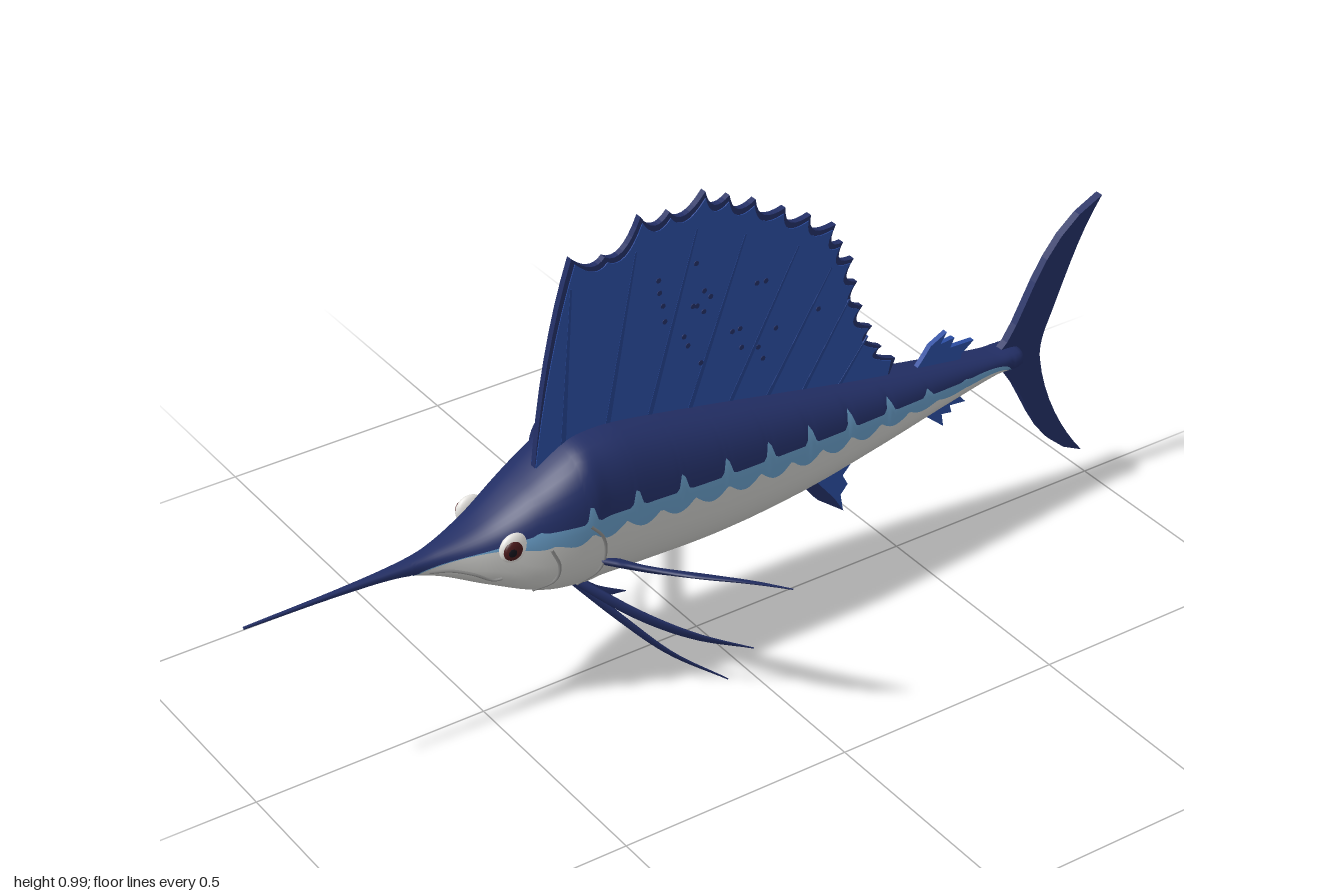
import * as THREE from 'three';

const mat = (name, color, side = THREE.FrontSide) => {
  const m = new THREE.MeshStandardMaterial({ color, side });
  m.name = name;
  return m;
};

// Smooth interpolation of column k in a table whose column 0 is x
function sample(table, k, x) {
  let i = 0;
  while (i < table.length - 2 && x > table[i + 1][0]) i++;
  const slope = (j) => {
    const a = table[Math.max(j - 1, 0)], b = table[Math.min(j + 1, table.length - 1)];
    return (b[k] - a[k]) / (b[0] - a[0]);
  };
  const p = table[i], q = table[i + 1], h = q[0] - p[0];
  const t = Math.min(1, Math.max(0, (x - p[0]) / h)), t2 = t * t, t3 = t2 * t;
  return (2 * t3 - 3 * t2 + 1) * p[k] + (t3 - 2 * t2 + t) * h * slope(i)
    + (3 * t2 - 2 * t3) * q[k] + (t3 - t2) * h * slope(i + 1);
}

// x, underside y, top y, half width
const BODY = [
  [-1, 0.399, 0.404, 0.003], [-0.8, 0.396, 0.408, 0.007], [-0.67, 0.389, 0.413, 0.016],
  [-0.6, 0.368, 0.422, 0.03], [-0.5, 0.318, 0.45, 0.07], [-0.4, 0.272, 0.505, 0.104],
  [-0.31, 0.256, 0.557, 0.118], [-0.27, 0.254, 0.566, 0.112], [-0.2, 0.252, 0.564, 0.113],
  [0, 0.25, 0.528, 0.111], [0.2, 0.263, 0.488, 0.096], [0.4, 0.294, 0.448, 0.074],
  [0.6, 0.33, 0.415, 0.05], [0.72, 0.35, 0.397, 0.037], [0.785, 0.352, 0.392, 0.034], [0.8, 0.368, 0.376, 0.008],
];
// x, lower edge of the dark back, upper edge of the pale belly
const BANDS = [
  [-1, 0.37, 0.36], [-0.67, 0.38, 0.375], [-0.63, 0.396, 0.394], [-0.5, 0.418, 0.413], [-0.4, 0.436, 0.402],
  [0, 0.423, 0.386], [0.3, 0.403, 0.37], [0.6, 0.384, 0.365], [0.74, 0.373, 0.364], [0.775, 0.33, 0.32], [0.8, 0.3, 0.29],
];
const POWER = 2.6;

function surface(x, t, lift = 0) {
  const lo = sample(BODY, 1, x), hi = sample(BODY, 2, x), w = sample(BODY, 3, x);
  const bend = (v) => Math.sign(v) * Math.abs(v) ** (2 / POWER);
  return new THREE.Vector3(x, (lo + hi) / 2 + ((hi - lo) / 2 + lift) * bend(Math.sin(t)),
    (w + lift) * bend(Math.max(0, Math.cos(t))));
}
function angleAt(x, y) {
  const lo = sample(BODY, 1, x), hi = sample(BODY, 2, x);
  const s = THREE.MathUtils.clamp((2 * y - lo - hi) / (hi - lo), -1, 1);
  return Math.asin(Math.sign(s) * Math.abs(s) ** (POWER / 2));
}

function bodyGeometry() {
  const N = 240, top = Math.PI / 2, pos = [], bands = [[], [], []], R = 36;
  for (let i = 0; i <= N; i++) {
    const x = -1 + 1.8 * i / N;
    const fade = THREE.MathUtils.smoothstep(x, -0.45, -0.3) * (1 - THREE.MathUtils.smoothstep(x, 0.3, 0.7));
    const yU = sample(BANDS, 1, x) + fade * 0.04 * Math.max(0, Math.cos(x * 60)) ** 8;
    const yL = sample(BANDS, 2, x) + fade * 0.014 * (1 - 1.6 * Math.abs(Math.sin(x * 40)));
    const tU = Math.max(angleAt(x, yU), -top + 0.06);
    const tL = Math.min(Math.max(angleAt(x, yL), -top + 0.03), tU - 0.02);
    const half = [];
    for (let j = 0; j < 8; j++) half.push(top + (tU - top) * j / 8);
    half.push(tU, (tU + tL) / 2);
    for (let j = 0; j <= 8; j++) half.push(tL + (-top - tL) * j / 8);
    const pts = half.map((t) => surface(x, t));
    for (const p of pts) pos.push(p.x, p.y, p.z);
    for (let j = 17; j > 0; j--) pos.push(pts[j].x, pts[j].y, -pts[j].z);
  }
  for (let i = 0; i < N; i++) for (let j = 0; j < R; j++) {
    const m = j < 18 ? j : 35 - j, k = (j + 1) % R;
    const a = i * R + j, b = i * R + k;
    bands[m < 8 ? 0 : m < 10 ? 1 : 2].push(a, b, a + R, b, b + R, a + R);
  }
  const g = new THREE.BufferGeometry();
  g.setAttribute('position', new THREE.Float32BufferAttribute(pos, 3));
  g.setIndex(bands.flat());
  let start = 0;
  bands.forEach((b, i) => { g.addGroup(start, b.length, i); start += b.length; });
  g.computeVertexNormals();
  return g;
}

// Lens-section fin lofted through [leading point, trailing point, half thickness]
function bladeGeometry(rows, side) {
  const S = 10, N = 20, pos = [], idx = [];
  const curve = (k) => new THREE.CatmullRomCurve3(rows.map((r) => new THREE.Vector3(r[k][0], r[k][1], r[k][2] * side)));
  const lead = curve(0), trail = curve(1);
  for (let i = 0; i <= N; i++) {
    const u = i / N, l = lead.getPoint(u), t = trail.getPoint(u);
    const c = l.clone().add(t).multiplyScalar(0.5), a = l.clone().sub(t).multiplyScalar(0.5);
    const d = lead.getTangent(u).add(trail.getTangent(u));
    const n = a.clone().cross(d).normalize().multiplyScalar(0.009 * (1 - 0.85 * u));
    for (let j = 0; j < S; j++) {
      const q = j / S * Math.PI * 2;
      pos.push(...c.clone().addScaledVector(a, Math.cos(q)).addScaledVector(n, Math.sin(q)).toArray());
    }
  }
  for (let i = 0; i < N; i++) for (let j = 0; j < S; j++) {
    const a = i * S + j, b = i * S + (j + 1) % S;
    idx.push(a, a + S, b, b, a + S, b + S);
  }
  const g = new THREE.BufferGeometry();
  g.setAttribute('position', new THREE.Float32BufferAttribute(pos, 3));
  g.setIndex(idx);
  g.computeVertexNormals();
  return g;
}

// Upright plate centred on z = 0
function plate(shape, depth) {
  return new THREE.ExtrudeGeometry(shape, { depth, bevelEnabled: false, curveSegments: 8 }).translate(0, 0, -depth / 2);
}
const polygon = (pts) => new THREE.Shape(pts.map((p) => new THREE.Vector2(p[0], p[1])));

const SAIL_TIPS = [[-0.283, 0.945], [-0.21, 0.925], [-0.13, 0.985], [-0.065, 0.975], [0.015, 0.993], [0.07, 0.968], [0.13, 0.94],
  [0.2, 0.9], [0.26, 0.865], [0.32, 0.825], [0.338, 0.78], [0.365, 0.735], [0.375, 0.68], [0.39, 0.62], [0.415, 0.565], [0.44, 0.51], [0.475, 0.47]];
// Sail outline: concave scallops between the ray tips
function sailShape(shrink, dip) {
  const f = (x, y) => [x * shrink, 0.45 + (y - 0.45) * shrink];
  const s = new THREE.Shape();
  s.moveTo(-0.375, 0.5);
  s.quadraticCurveTo(...f(-0.35, 0.76), ...f(...SAIL_TIPS[0]));
  for (let i = 1; i < SAIL_TIPS.length; i++) {
    const [ax, ay] = SAIL_TIPS[i - 1], [bx, by] = SAIL_TIPS[i];
    const cx = ax * 0.7 + bx * 0.3, cy = ay * 0.7 + by * 0.3;
    const len = Math.hypot(cx, cy - 0.45), k = 1 - dip / len;
    s.quadraticCurveTo(...f(cx * k, 0.45 + (cy - 0.45) * k), ...f(bx, by));
  }
  s.lineTo(0.45, 0.41);
  s.lineTo(0, 0.49);
  s.lineTo(-0.3, 0.52);
  return s;
}

export function createModel() {
  const fish = new THREE.Group();
  fish.name = 'sailfish';
  const navy = mat('navy', 0x222e64), blue = mat('sail blue', 0x2a4c9f), ray = mat('ray blue', 0x24428c);
  const sky = mat('light blue', 0x6497c0), pale = mat('belly grey', 0xc6c6c3), line = mat('crease grey', 0x8b8b8a);
  const white = mat('eye white', 0xe6e4e0), black = mat('black', 0x14121a), iris = mat('dark red', 0x4a1a1c);
  const add = (name, geo, material) => {
    const m = new THREE.Mesh(geo, material);
    m.name = name;
    fish.add(m);
    return m;
  };

  add('body', bodyGeometry(), [navy, sky, pale]);

  // Sail with dark rim, rays and spots
  add('sailRim', plate(sailShape(1, 0.05), 0.014), navy);
  add('sail', plate(sailShape(0.975, 0.05), 0.018), blue);
  SAIL_TIPS.forEach(([x, y], i) => {
    if (i % 2 || i > 14) return;
    const bx = -0.32 + i * 0.045, by = 0.5 - i * 0.005, k = 0.86;
    const tx = bx + (x - bx) * k, ty = by + (y - by) * k;
    add('sailRay', plate(polygon([[bx, by], [bx + 0.012, by], [tx + 0.004, ty], [tx, ty]]), 0.0195), ray);
  });
  let seed = 7;
  const rand = () => (seed = (seed * 16807) % 2147483647) / 2147483647;
  for (let i = 0; i < 22; i++) {
    const a = 0.5 + rand() * 1.5, r = 0.15 + rand() * 0.27;
    const spot = new THREE.CylinderGeometry(0.0055, 0.0055, 0.021, 8).rotateX(Math.PI / 2);
    add('sailSpot', spot.translate(Math.cos(a) * r * 0.8, 0.46 + Math.sin(a) * r, 0), navy);
  }

  // Small fins on the centre line
  add('rearDorsalFin', plate(polygon([[0.52, 0.41], [0.55, 0.445], [0.565, 0.465], [0.605, 0.485], [0.59, 0.462],
    [0.625, 0.465], [0.615, 0.445], [0.675, 0.443], [0.645, 0.42], [0.64, 0.39], [0.52, 0.39]]), 0.012), blue);
  add('analFin', plate(polygon([[0.23, 0.29], [0.245, 0.26], [0.29, 0.2], [0.355, 0.15], [0.348, 0.19], [0.365, 0.21],
    [0.352, 0.235], [0.38, 0.265], [0.37, 0.32], [0.3, 0.31]]), 0.012), blue);
  add('analFinEdge', plate(polygon([[0.23, 0.28], [0.245, 0.26], [0.29, 0.2], [0.355, 0.15], [0.33, 0.19], [0.265, 0.27]]), 0.015), navy);
  add('rearAnalFin', plate(polygon([[0.53, 0.34], [0.56, 0.3], [0.605, 0.262], [0.6, 0.292], [0.625, 0.288],
    [0.62, 0.306], [0.66, 0.302], [0.64, 0.325], [0.65, 0.36], [0.53, 0.36]]), 0.012), blue);

  // Crescent tail
  const tail = new THREE.Shape();
  tail.moveTo(0.735, 0.385);
  tail.bezierCurveTo(0.81, 0.43, 0.82, 0.62, 0.99, 0.68);
  tail.bezierCurveTo(0.93, 0.6, 0.9, 0.5, 0.86, 0.41);
  tail.quadraticCurveTo(0.845, 0.37, 0.85, 0.34);
  tail.bezierCurveTo(0.865, 0.24, 0.92, 0.14, 0.978, 0.07);
  tail.bezierCurveTo(0.83, 0.12, 0.82, 0.3, 0.735, 0.36);
  add('tailFin', plate(tail, 0.018), navy);

  // Long pelvic fin from a centre path and a width direction
  const pelvic = (path, py, pz) => path.map(([x, y, z], i) => {
    const w = [0.012, 0.017, 0.014, 0.001][i];
    return [[x, y + py * w, z + pz * w], [x, y - py * w, z - pz * w]];
  });
  const pectoral = [
    [[-0.3, 0.335, 0.095], [-0.23, 0.3, 0.095]], [[-0.275, 0.345, 0.15], [-0.19, 0.296, 0.15]],
    [[-0.21, 0.367, 0.28], [-0.135, 0.335, 0.28]], [[-0.14, 0.367, 0.35], [-0.09, 0.347, 0.355]],
    [[-0.055, 0.346, 0.4], [-0.053, 0.344, 0.4]],
  ];
  const outer = pelvic([[-0.32, 0.268, 0.03], [-0.22, 0.19, 0.12], [-0.13, 0.14, 0.185], [-0.03, 0.104, 0.24]], 0.78, 0.62);
  const inner = pelvic([[-0.32, 0.268, 0.025], [-0.23, 0.16, 0.085], [-0.15, 0.075, 0.13], [-0.05, 0.003, 0.182]], 0.49, 0.87);

  for (const s of [1, -1]) {
    const side = s > 0 ? 'left' : 'right';
    add(side + 'PectoralFin', bladeGeometry(pectoral, s), navy);
    add(side + 'OuterPelvicFin', bladeGeometry(outer, s), navy);
    add(side + 'InnerPelvicFin', bladeGeometry(inner, s), navy);

    // Eye: white ball, dark red iris, black pupil
    const eye = surface(-0.468, angleAt(-0.468, 0.418));
    [['Eye', 0.031, 0, white], ['Iris', 0.021, 0.008, iris], ['Pupil', 0.013, 0.012, black]].forEach(([n, r, out, m]) => {
      const ball = add(side + n, new THREE.SphereGeometry(r, 20, 14), m);
      ball.scale.z = 0.45;
      ball.position.set(eye.x - out * 0.7, eye.y, s * (eye.z + out));
    });

    // Mouth and gill creases drawn along the skin
    const crease = (name, pts) => {
      const path = new THREE.CatmullRomCurve3(pts.map(([x, y]) => {
        const p = surface(x, angleAt(x, y));
        return p.setZ(p.z * s);
      }));
      add(side + name, new THREE.TubeGeometry(path, 24, 0.0035, 6), line);
    };
    crease('Mouth', [[-0.62, 0.39], [-0.58, 0.385], [-0.54, 0.37], [-0.505, 0.35], [-0.49, 0.352]]);
    crease('GillCover', [[-0.32, 0.43], [-0.295, 0.4], [-0.285, 0.36], [-0.295, 0.315], [-0.33, 0.28]]);
    crease('Cheek', [[-0.4, 0.4], [-0.385, 0.36], [-0.39, 0.325], [-0.42, 0.295]]);
  }
  return fish;
}
